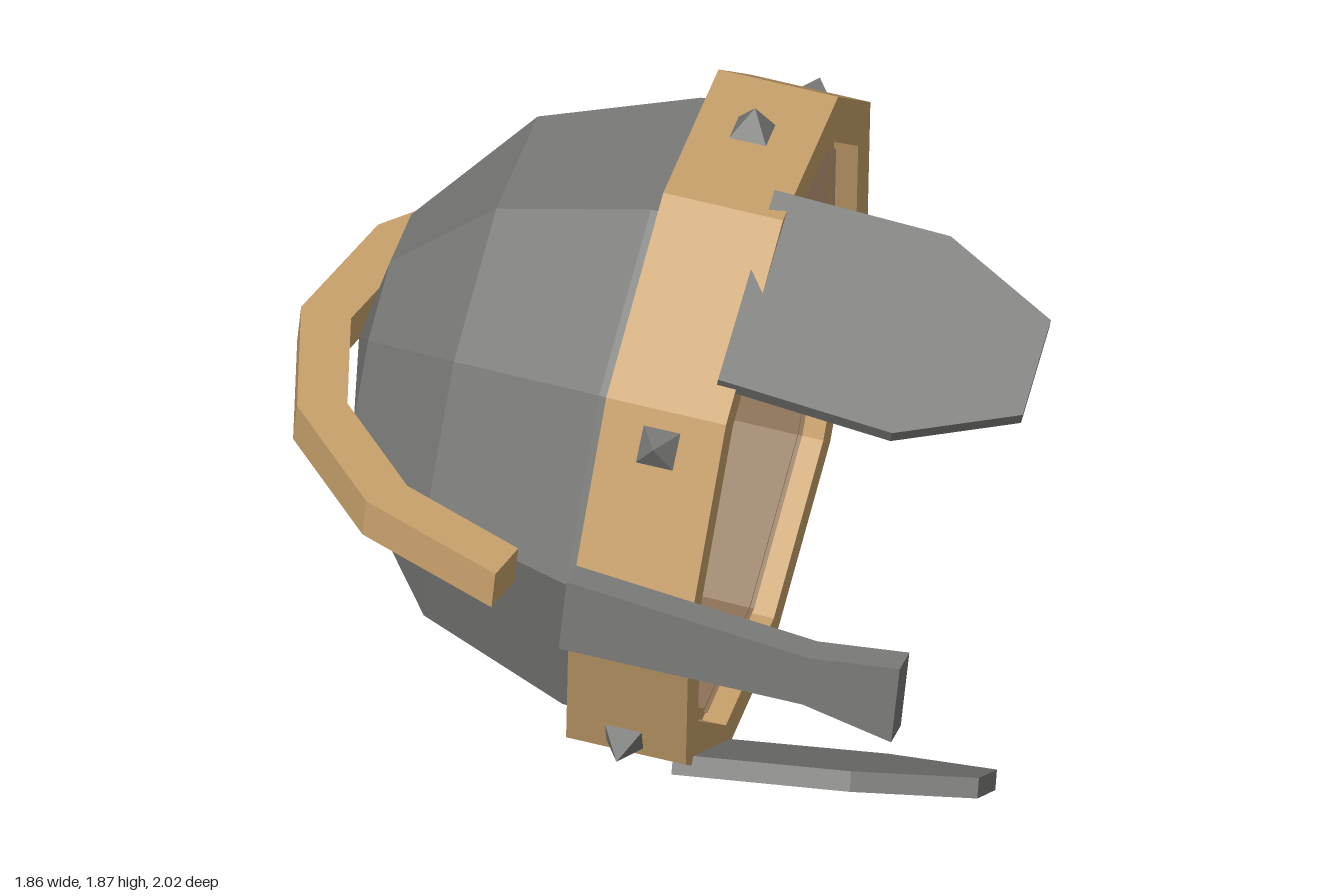
import * as THREE from 'three';

const flat = (name, color, side = THREE.FrontSide) => {
  const m = new THREE.MeshStandardMaterial({ color, flatShading: true, side });
  m.name = name;
  return m;
};

export function createModel() {
  const steel = flat('steel grey', 0x7a7a78);
  const brass = flat('brass tan', 0xc9a26d);
  const leather = flat('leather brown', 0x8e7357);

  // Helmet frame: local +z is the opening axis, local y is up.
  const model = new THREE.Group();
  model.name = 'helmet';
  const helmet = new THREE.Group();
  helmet.name = 'tiltedHelmet';
  helmet.position.set(-0.04, 0.95, -0.12);
  helmet.lookAt(helmet.position.clone().add(new THREE.Vector3(0.976, -0.098, 0.195)));
  model.add(helmet);

  const add = (parent, name, geo, mat) => {
    const mesh = new THREE.Mesh(geo, mat);
    mesh.name = name;
    parent.add(mesh);
    return mesh;
  };

  // Ten-sided turned parts, profile given as [radius, z]
  const turned = (name, profile, mat) => {
    const pts = profile.map(([r, z]) => new THREE.Vector2(r, z));
    const geo = new THREE.LatheGeometry(pts, 10, Math.PI / 2);
    geo.rotateX(Math.PI / 2);
    return add(helmet, name, geo, mat);
  };
  turned('dome', [[0, -0.75], [0.335, -0.677], [0.65, -0.415], [0.79, -0.03], [0.79, 0.03]], steel);
  turned('rimBand', [[0.75, 0], [0.87, 0], [0.87, 0.3], [0.755, 0.3], [0.755, 0.24], [0.725, 0.24]], brass);
  turned('lining', [[0.735, 0.25], [0.73, 0], [0.61, -0.39], [0.31, -0.64], [0, -0.71]], leather);

  // Mount at an angle round the rim: x outward, y along the rim, z along the axis
  const mount = (name, degrees) => {
    const g = new THREE.Group();
    g.name = name;
    g.rotation.z = THREE.MathUtils.degToRad(degrees);
    helmet.add(g);
    return g;
  };

  // Symmetric plate from half-widths [halfWidth, distance along axis]
  const toMount = new THREE.Matrix4().makeBasis(
    new THREE.Vector3(0, 1, 0), new THREE.Vector3(0, 0, 1), new THREE.Vector3(1, 0, 0));
  const plate = (name, degrees, half, thickness, radius, z, tilt) => {
    const outline = [
      ...half.map(([w, d]) => new THREE.Vector2(w, d)),
      ...half.slice().reverse().map(([w, d]) => new THREE.Vector2(-w, d)),
    ];
    const geo = new THREE.ExtrudeGeometry(new THREE.Shape(outline), { depth: thickness, bevelEnabled: false });
    geo.applyMatrix4(toMount);
    const mesh = add(mount(name + 'Mount', degrees), name, geo, steel);
    mesh.position.set(radius, 0, z);
    mesh.rotation.y = tilt;
  };

  // Nose guard and two cheek plates
  plate('noseGuard', 180, [[0.1, 0], [0.07, 0.62], [0.11, 0.85]], 0.075, 0.84, 0, 0.065);
  const cheek = [[0.26, 0], [0.27, 0.44], [0.13, 0.73]];
  plate('upperCheekPlate', 120, cheek, 0.05, 0.787, 0.25, -0.13);
  plate('lowerCheekPlate', 240, cheek, 0.05, 0.787, 0.25, -0.13);

  // Six pyramid studs round the rim
  for (let i = 0; i < 6; i++) {
    const geo = new THREE.ConeGeometry(0.065, 0.07, 4);
    geo.rotateY(Math.PI / 4);
    geo.rotateZ(-Math.PI / 2);
    add(mount('studMount', 30 + i * 60), 'stud', geo, steel).position.set(0.903, 0, 0.15);
  }

  // Crest: faceted arc behind the dome
  const arc = (r) => Array.from({ length: 7 }, (_, i) => {
    const a = THREE.MathUtils.degToRad(12 + i * 26);
    return new THREE.Vector2(r * Math.cos(a), r * Math.sin(a));
  });
  const crest = new THREE.ExtrudeGeometry(
    new THREE.Shape([...arc(0.9), ...arc(0.775).reverse()]), { depth: 0.1, bevelEnabled: false });
  crest.translate(0, 0, -0.05);
  crest.rotateX(-Math.PI / 2);
  add(helmet, 'crest', crest, brass);

  return model;
}
